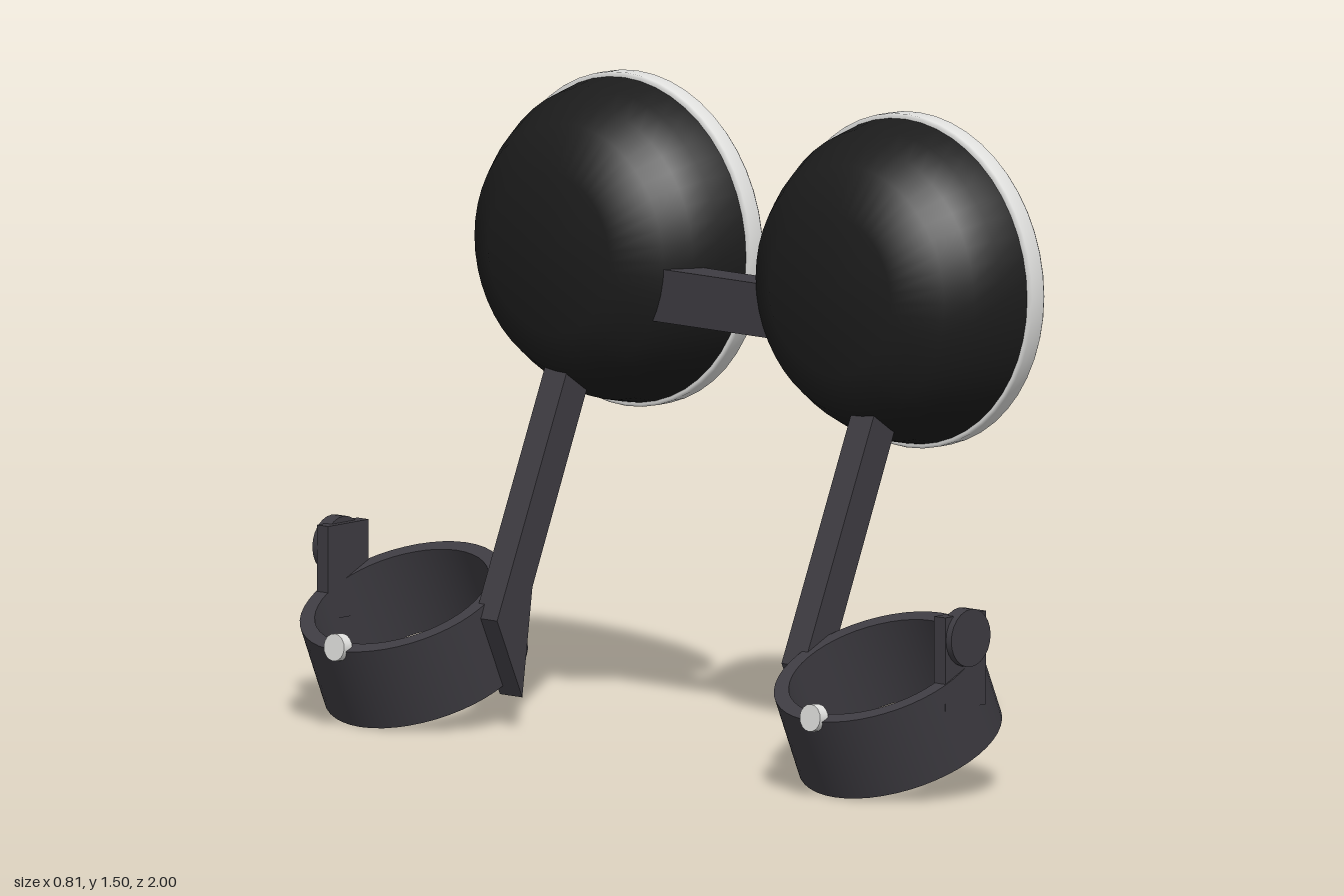
import * as THREE from 'three';
import { toCreasedNormals } from 'three/addons/utils/BufferGeometryUtils.js';

const material = (name, color) => {
  const m = new THREE.MeshStandardMaterial({ color });
  m.name = name;
  return m;
};

// Lathe whose profile is given as [x, radius], turned around the x axis
function turned(profile, segments = 48) {
  const points = profile.map(([x, r]) => new THREE.Vector2(r, x));
  return new THREE.LatheGeometry(points, segments).rotateZ(-Math.PI / 2);
}

// Flat plate in the xy plane, centred on z = 0
function plate(shape, depth, curveSegments = 12) {
  const g = new THREE.ExtrudeGeometry(shape, { depth, bevelEnabled: false, curveSegments });
  return g.translate(0, 0, -depth / 2);
}

export function createModel() {
  const black = material('black housing', 0x1c1c1c);
  const grey = material('dark grey frame', 0x3e3c42);
  const rimWhite = material('pale rim', 0xe0e0de);
  const lensGrey = material('pale lens', 0xcccccb);

  const model = new THREE.Group();
  model.name = 'twinLampBracket';
  const add = (parent, name, geometry, mat, x, y, z) => {
    const mesh = new THREE.Mesh(geometry, mat);
    mesh.name = name;
    mesh.position.set(x, y, z);
    parent.add(mesh);
    return mesh;
  };

  // Lamp profiles
  const housing = turned([[0, 0], [0, 0.19], [0.07, 0.295], [0.13, 0.335], [0.19, 0.366], [0.27, 0.383]]);
  const rim = turned([[0.262, 0.34], [0.262, 0.386], [0.268, 0.392], [0.308, 0.392], [0.316, 0.386],
    [0.322, 0.372], [0.318, 0.355], [0.305, 0.344]]);
  const lens = turned([[0.3, 0.347], [0.315, 0.338], [0.345, 0.305], [0.378, 0.215], [0.395, 0.11], [0.401, 0]]);

  // Clamp ring: tube with a hole, its axis turned upright
  const ringShape = new THREE.Shape().absarc(0, 0, 0.246, 0, Math.PI * 2, false);
  ringShape.holes.push(new THREE.Path().absarc(0, 0, 0.21, 0, Math.PI * 2, true));
  const clamp = toCreasedNormals(plate(ringShape, 0.208, 24).rotateX(-Math.PI / 2), 0.7);

  // Strut: slanted bar ending in a foot that follows the clamp wall
  const strutShape = new THREE.Shape([
    [-0.172, 0.27], [-0.085, 0.08], [-0.05, 0.335], [0.135, 0.77], [0.18, 0.88], [0.105, 0.91],
  ].map(([x, y]) => new THREE.Vector2(x, y)));
  const strut = plate(strutShape, 0.07);

  for (const s of [1, -1]) {
    const side = new THREE.Group();
    side.name = s > 0 ? 'frontSide' : 'rearSide';
    model.add(side);

    add(side, 'lampHousing', housing, black, 0, 1.115, s * 0.44);
    add(side, 'lampRim', rim, rimWhite, 0, 1.115, s * 0.44);
    add(side, 'lampLens', lens, lensGrey, 0, 1.115, s * 0.44);
    add(side, 'strut', strut, grey, 0, 0, s * 0.48);
    add(side, 'clampRing', clamp, grey, -0.132, 0.2, s * 0.742).rotation.z = 0.418;

    // Hinge tab with its round boss on the outer side of the clamp
    add(side, 'hingeTab', new THREE.BoxGeometry(0.14, 0.22, 0.035), grey, -0.13, 0.33, s * 0.966);
    const boss = new THREE.CylinderGeometry(0.068, 0.068, 0.036, 24).rotateX(Math.PI / 2);
    add(side, 'hingeBoss', boss, grey, -0.13, 0.386, s * 0.982);

    // Small pale stud on the back edge of the clamp
    const stud = new THREE.CylinderGeometry(0.032, 0.032, 0.028, 16).rotateZ(Math.PI / 2);
    add(side, 'clampStud', stud, rimWhite, -0.391, 0.202, s * 0.745).rotation.z = -0.1;
  }

  // Bar joining the two lamps
  add(model, 'crossbar', new THREE.BoxGeometry(0.082, 0.125, 0.44), grey, 0.113, 1.038, 0);
  return model;
}
